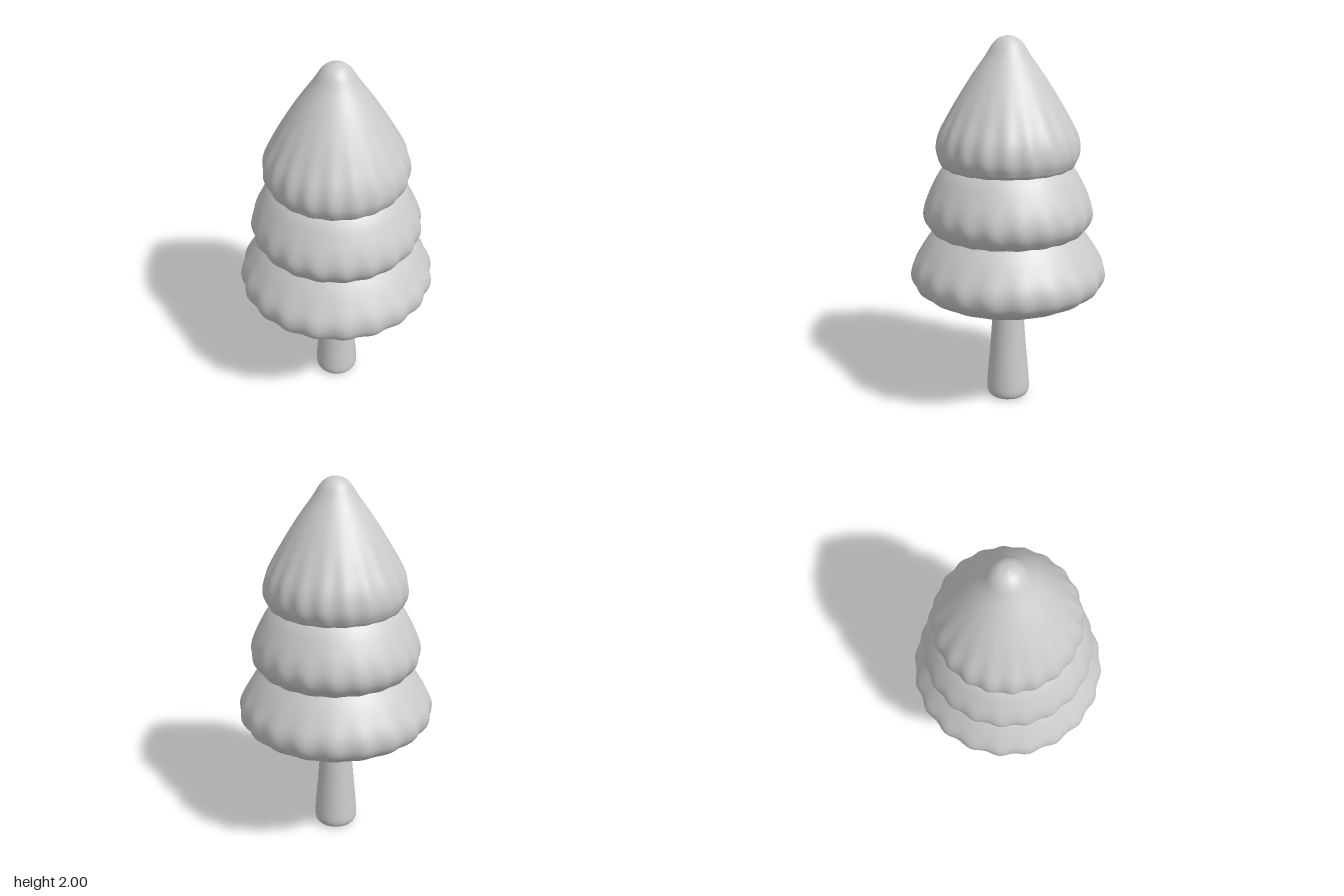
import * as THREE from 'three';
import { mergeVertices } from 'three/addons/utils/BufferGeometryUtils.js';

const material = new THREE.MeshStandardMaterial({ color: 0xcccccc });

// Smooth solid of revolution from [radius, y] points listed bottom to top.
// The optional ripple(y) gives the height of the 20 scallops around the rim.
function turned(name, profile, steps, segments, ripple = () => 0) {
  const curve = new THREE.SplineCurve(profile.map(([r, y]) => new THREE.Vector2(r, y)));
  const points = curve.getPoints(steps);
  points.forEach((p) => { p.x = Math.max(p.x, 0); });
  let geometry = new THREE.LatheGeometry(points, segments);
  const pos = geometry.attributes.position;
  for (let i = 0; i < pos.count; i++) {
    const x = pos.getX(i), y = pos.getY(i), z = pos.getZ(i);
    const r = Math.hypot(x, z);
    if (r < 1e-5) continue;
    const s = 1 + ripple(y) * Math.cos(20 * Math.atan2(x, z));
    pos.setXYZ(i, x * s, y, z * s);
  }
  // weld the seam so the shading stays smooth all round
  geometry.deleteAttribute('uv');
  geometry.deleteAttribute('normal');
  geometry = mergeVertices(geometry, 1e-5);
  geometry.computeVertexNormals();
  const mesh = new THREE.Mesh(geometry, material);
  mesh.name = name;
  return mesh;
}

// Scallops strongest at height mid, fading over the distances below and above
const fade = (amount, mid, below, above) => (y) =>
  amount * Math.exp(-(((y - mid) / (y < mid ? below : above)) ** 2));

export function createModel() {
  const tree = new THREE.Group();
  tree.name = 'tree';

  // Trunk with a flared, rounded foot
  tree.add(turned('trunk', [
    [0, 0.005], [0.06, 0.003], [0.1, 0.008], [0.117, 0.035], [0.117, 0.09],
    [0.108, 0.2], [0.097, 0.33], [0.088, 0.46], [0.085, 0.58], [0.085, 0.65],
  ], 36, 32));

  // Three overlapping tiers of foliage
  tree.add(turned('lowerFoliage', [
    [0, 0.55], [0.1, 0.552], [0.24, 0.568], [0.38, 0.605], [0.475, 0.655], [0.515, 0.71],
    [0.514, 0.785], [0.467, 0.875], [0.405, 0.965], [0.33, 1.04], [0.18, 1.08], [0, 1.09],
  ], 44, 120, fade(-0.015, 0.71, 0.1, 0.12)));

  tree.add(turned('middleFoliage', [
    [0, 0.97], [0.2, 0.968], [0.37, 0.968], [0.425, 1.01], [0.447, 1.07],
    [0.437, 1.14], [0.4, 1.225], [0.345, 1.315], [0.26, 1.39], [0.13, 1.43], [0, 1.44],
  ], 44, 120, fade(-0.015, 1.04, 0.1, 0.11)));

  tree.add(turned('upperFoliage', [
    [0, 1.322], [0.18, 1.32], [0.325, 1.322], [0.362, 1.36], [0.374, 1.42], [0.358, 1.5],
    [0.308, 1.6], [0.25, 1.7], [0.186, 1.8], [0.115, 1.9], [0.08, 1.955], [0.045, 1.987], [0, 2],
  ], 52, 120, fade(0.017, 1.42, 0.12, 0.2)));

  return tree;
}
